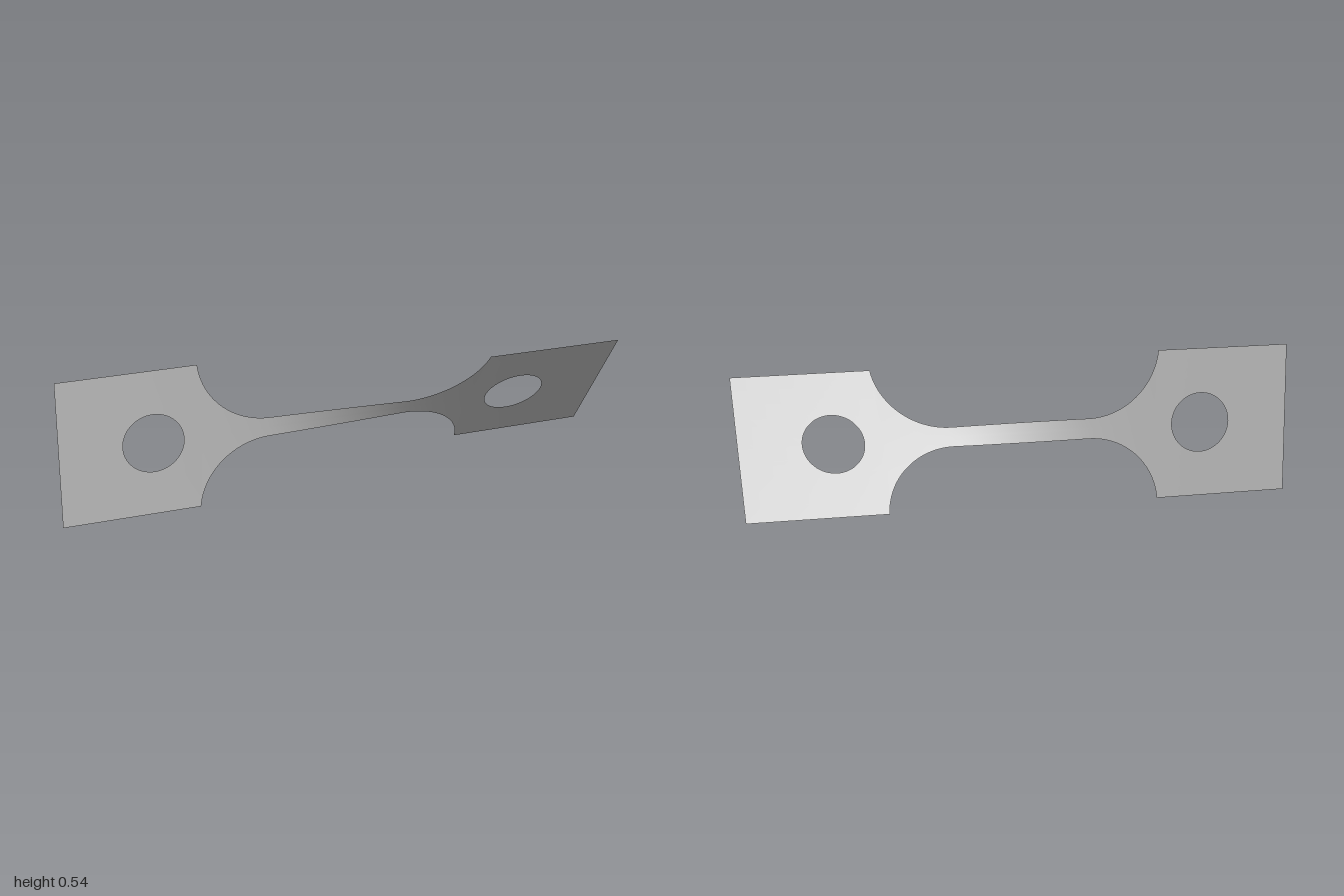
import * as THREE from 'three';
import { mergeVertices } from 'three/addons/utils/BufferGeometryUtils.js';

const HALF = 0.271;       // half height of the end plates
const NECK = 0.0365;      // half height of the slim middle
const R = 0.26;           // fillet radius
const FILLET_X = 0.25;    // where the fillets meet the middle
const HOLE_X = 0.67, HOLE_R = 0.108;
const SHOULDER = Math.acos(1 - (HALF - NECK) / R); // fillet sweep angle

// Twist in degrees at points along the length, eased almost entirely into the middle
const TWIST = [[-1, 0], [-0.5, 0.6], [-0.36, 1.5], [-0.25, 3.5], [0.25, 32.5], [0.36, 34.5], [0.5, 35.4], [1, 36]];
function twist(x) {
  let i = 0;
  while (i < TWIST.length - 2 && x > TWIST[i + 1][0]) i++;
  const [x0, a0] = TWIST[i], [x1, a1] = TWIST[i + 1];
  return THREE.MathUtils.degToRad(a0 + (a1 - a0) * (x - x0) / (x1 - x0));
}

// Columns of the right half: x, outer edge and hole edge
function halfColumns() {
  const cols = [];
  for (let i = 0; i < 10; i++) cols.push([FILLET_X * i / 10, NECK, 0]);
  for (let i = 0; i <= 24; i++) {
    const a = SHOULDER * i / 24;
    cols.push([FILLET_X + R * Math.sin(a), NECK + R * (1 - Math.cos(a)), 0]);
  }
  for (let i = 0; i <= 32; i++) {
    const a = Math.PI * i / 32;
    cols.push([HOLE_X - HOLE_R * Math.cos(a), HALF, HOLE_R * Math.sin(a)]);
  }
  for (let i = 1; i <= 4; i++) cols.push([HOLE_X + HOLE_R + (1 - HOLE_X - HOLE_R) * i / 4, HALF, 0]);
  return cols;
}

function sheetGeometry() {
  const right = halfColumns();
  const cols = [...right.slice(1).reverse().map(([x, o, h]) => [-x, o, h]), ...right];
  const rows = 5, positions = [], index = [];
  // Upper and lower strips, joined along the centre line except around the holes
  for (const side of [1, -1]) {
    const base = positions.length / 3;
    cols.forEach(([x, outer, inner], c) => {
      const a = twist(x);
      for (let r = 0; r <= rows; r++) {
        const v = side * (inner + (outer - inner) * r / rows);
        positions.push(x, HALF + v * Math.cos(a), v * Math.sin(a));
        if (c === 0 || r === 0) continue;
        const d = base + c * (rows + 1) + r, l = d - rows - 1;
        if (side > 0) index.push(l - 1, d - 1, d, l - 1, d, l);
        else index.push(l - 1, d, d - 1, l - 1, l, d);
      }
    });
  }
  const geometry = new THREE.BufferGeometry();
  geometry.setAttribute('position', new THREE.Float32BufferAttribute(positions, 3));
  geometry.setIndex(index);
  const merged = mergeVertices(geometry, 1e-5);
  merged.computeVertexNormals();
  return merged;
}

export function createModel() {
  const metal = new THREE.MeshStandardMaterial({ color: 0xbfbfbf, side: THREE.DoubleSide });
  metal.name = 'greyMetal';
  const sheet = new THREE.Mesh(sheetGeometry(), metal);
  sheet.name = 'twistedSheet';
  const group = new THREE.Group();
  group.name = 'twistedTestStrip';
  group.add(sheet);
  return group;
}
